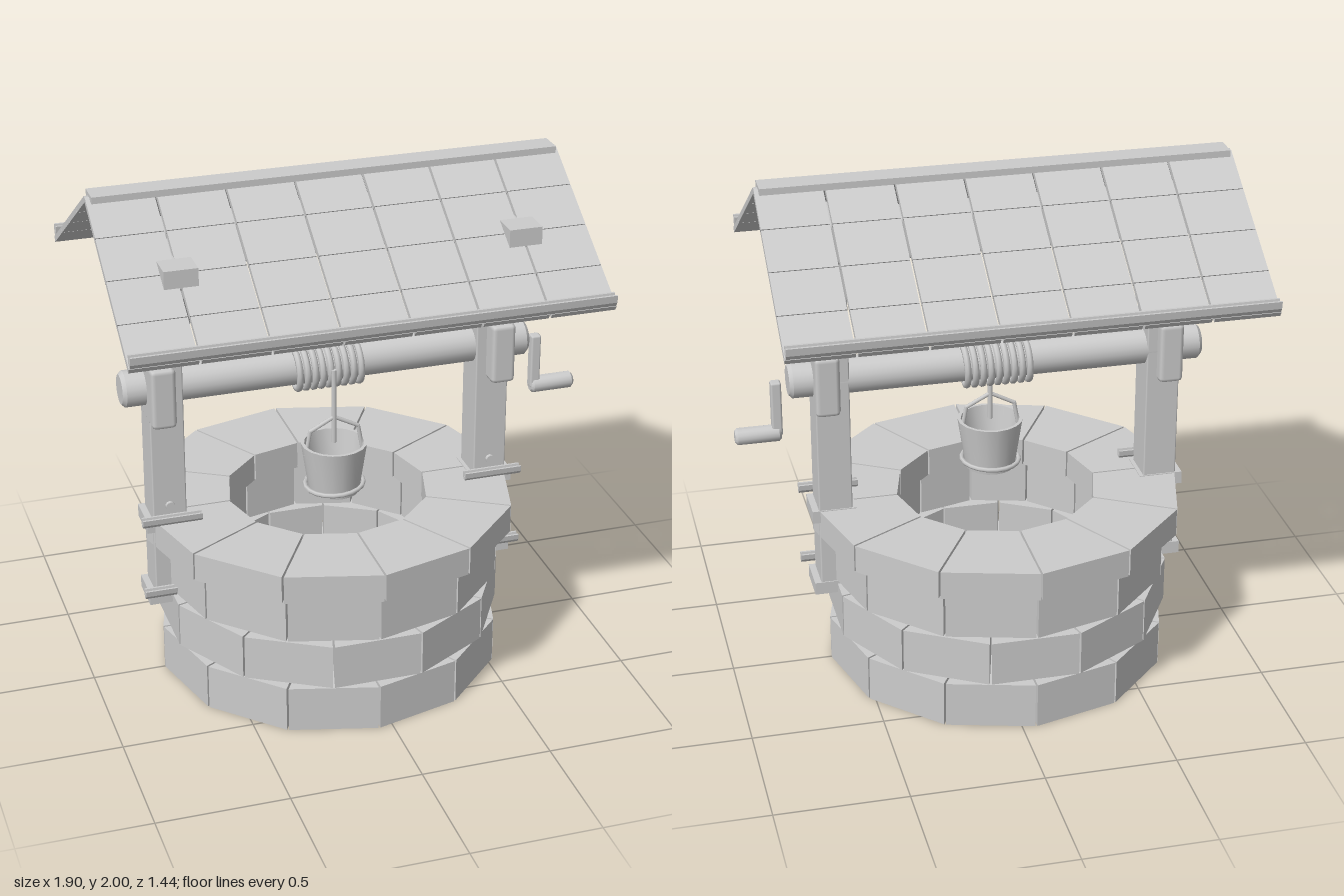
import * as THREE from 'three';
import { RoundedBoxGeometry } from 'three/addons/geometries/RoundedBoxGeometry.js';
import { toCreasedNormals } from 'three/addons/utils/BufferGeometryUtils.js';

export function createModel() {
  const grey = new THREE.MeshStandardMaterial({ color: 0xcccccc });
  grey.name = 'plain grey';
  const greyOpen = grey;
  const model = new THREE.Group();
  model.name = 'wishingWell';
  const well = new THREE.Group();
  well.name = 'well';
  well.position.x = -0.053;
  model.add(well);

  const add = (name, geometry, x = 0, y = 0, z = 0, parent = well) => {
    const mesh = new THREE.Mesh(geometry, grey);
    mesh.name = name;
    mesh.position.set(x, y, z);
    parent.add(mesh);
    return mesh;
  };
  const box = (w, h, d) => new THREE.BoxGeometry(w, h, d);
  const soft = (w, h, d, r = 0.012) => new RoundedBoxGeometry(w, h, d, 1, r);
  const shapeOf = pts => new THREE.Shape(pts.map(p => new THREE.Vector2(p[0], p[1])));
  // Extrude a (z, y) outline along x, centred on x = 0
  const alongX = (pts, length) => {
    const g = new THREE.ExtrudeGeometry(shapeOf(pts), { depth: length, bevelEnabled: false });
    g.translate(0, 0, -length / 2);
    return g.rotateY(-Math.PI / 2);
  };
  // Solid of revolution about x with rounded ends
  const roundBar = (r, length, bevel, sides) => {
    const h = length / 2;
    const pts = [[0, -h], [r - bevel, -h], [r, -h + bevel], [r, h - bevel], [r - bevel, h], [0, h]];
    const g = new THREE.LatheGeometry(pts.map(p => new THREE.Vector2(p[0], p[1])), sides);
    return toCreasedNormals(g, 0.6).rotateZ(-Math.PI / 2);
  };

  // Stone courses: twelve wedge blocks each, the second one staggered
  const courses = [
    { y0: 0, y1: 0.18, outer: 0.665, inner: 0.44, turn: 0.5 },
    { y0: 0.195, y1: 0.37, outer: 0.665, inner: 0.44, turn: 0 },
    { y0: 0.387, y1: 0.562, outer: 0.665, inner: 0.44, turn: 0.5 },
    { y0: 0.58, y1: 0.69, outer: 0.72, inner: 0.39, turn: 0.5 },
  ];
  const c = Math.cos(Math.PI / 12), s = Math.sin(Math.PI / 12), gap = 0.004;
  courses.forEach(({ y0, y1, outer, inner, turn }, row) => {
    const course = new THREE.Group();
    course.name = 'stoneCourse' + (row + 1);
    well.add(course);
    const stone = new THREE.ExtrudeGeometry(shapeOf([
      [inner * c, -inner * s + gap], [outer * c, -outer * s + gap],
      [outer * c, outer * s - gap], [inner * c, inner * s - gap],
    ]), { depth: y1 - y0, bevelEnabled: false }).rotateX(-Math.PI / 2);
    for (let i = 0; i < 12; i++) {
      add('stone', stone, 0, y0, 0, course).rotation.y = (i + turn) * Math.PI / 6;
    }
  });
  add('wellFloor', new THREE.CylinderGeometry(0.445, 0.445, 0.008, 24), 0, 0.1, 0);

  // Grooved rail profile shared by the roof edges and the post straps
  const rail = (w, h) => [
    [-w, h], [-w * 0.8, -h * 0.3], [-w * 0.35, -h], [w * 0.35, -h], [w * 0.8, -h * 0.3],
    [w, h], [w * 0.5, h], [w * 0.3, -h * 0.1], [-w * 0.3, -h * 0.1], [-w * 0.5, h],
  ];

  // Posts with braces, collars, straps and bearing blocks, mirrored left and right
  const brace = alongX([[0.06, 1.36], [0.105, 1.36], [0.19, 1.48], [0.25, 1.6], [0.31, 1.69],
    [0.31, 1.72], [0.372, 1.755], [0.372, 1.825], [0.06, 1.825]], 0.125);
  for (const side of [-1, 1]) {
    const post = new THREE.Group();
    post.name = side > 0 ? 'leftPost' : 'rightPost';
    well.add(post);
    const x = side * 0.64;
    add('postBeam', soft(0.13, 1.47, 0.145, 0.006), x, 1.065, 0.003, post);
    add('brace', brace, x, 0, 0, post);
    add('bearingBlock', soft(0.095, 0.24, 0.255, 0.018), side * 0.662, 1.22, 0.017, post);
    for (const y of [0.357, 0.668]) {
      add('collar', box(0.17, 0.05, 0.152), side * 0.645, y, 0.002, post);
    }
    for (const y of [0.4, 0.705, 1.76]) {
      add('strap', alongX(rail(0.017, 0.017), y > 1 ? 0.15 : 0.23), x, y, 0.108, post);
    }
    const bolt = new THREE.CylinderGeometry(0.018, 0.018, 0.02, 10).rotateX(Math.PI / 2);
    add('bolt', bolt, x, 0.75, 0.08, post);
  }
  add('topBeam', soft(1.62, 0.17, 0.155, 0.022), 0, 1.775, -0.002);

  // Windlass log with rope coil
  add('windlass', roundBar(0.07, 1.595, 0.014, 20), 0, 1.22, 0);
  const coilPts = [];
  const turns = 9;
  for (let i = 0; i <= turns * 16; i++) {
    const a = i / 16 * Math.PI * 2;
    coilPts.push(new THREE.Vector3(-0.135 + 0.27 * i / (turns * 16), 0.086 * Math.cos(a), 0.086 * Math.sin(a)));
  }
  add('ropeCoil', new THREE.TubeGeometry(new THREE.CatmullRomCurve3(coilPts), turns * 20, 0.013, 7), 0, 1.22, 0);
  add('rope', new THREE.CylinderGeometry(0.01, 0.01, 0.3, 8), 0, 1.08, 0.095);

  // Bucket with hoop, rim and bent handle
  const bucket = new THREE.Group();
  bucket.name = 'bucket';
  bucket.position.set(0, 0.73, 0.095);
  well.add(bucket);
  const profile = [[0, 0], [0.097, 0], [0.127, 0.2], [0.114, 0.2], [0.088, 0.02], [0, 0.02]]
    .map(p => new THREE.Vector2(p[0], p[1]));
  add('bucketBody', toCreasedNormals(new THREE.LatheGeometry(profile, 18), 0.6), 0, 0, 0, bucket);
  const hoop = add('bucketHoop', new THREE.TorusGeometry(0.112, 0.009, 6, 20).rotateX(Math.PI / 2), 0, 0.027, 0, bucket);
  hoop.rotation.z = 0.04;
  const bar = (name, a, b, r) => {
    const A = new THREE.Vector3(...a), B = new THREE.Vector3(...b);
    const m = add(name, new THREE.CylinderGeometry(r, r, A.distanceTo(B) + r, 8), 0, 0, 0, bucket);
    m.position.copy(A).lerp(B, 0.5);
    m.quaternion.setFromUnitVectors(new THREE.Vector3(0, 1, 0), B.sub(A).normalize());
  };
  for (const side of [-1, 1]) {
    bar('handleSide', [side * 0.112, 0.16, 0], [side * 0.095, 0.255, 0], 0.008);
    bar('handleTop', [side * 0.095, 0.255, 0], [0, 0.305, 0], 0.008);
  }
  bar('handleDrop', [0, 0.31, 0], [0, 0.2, 0], 0.007);

  // Crank beside the log
  const crank = new THREE.Group();
  crank.name = 'crank';
  model.add(crank);
  add('crankArm', soft(0.04, 0.22, 0.042, 0.008), 0.79, 1.11, 0, crank);
  add('crankHandle', roundBar(0.033, 0.175, 0.01, 14), 0.862, 1.008, 0, crank);

  // Roof: two slopes of boards, seven columns by four rows
  const half = new THREE.Vector2(0.625, 0.395);
  const slopeLength = half.length(), pitch = Math.atan2(half.y, half.x);
  const colW = 1.795 / 7, rowL = slopeLength / 4;
  const board = box(colW - 0.009, 0.022, rowL - 0.003);
  for (const side of [-1, 1]) {
    const slope = new THREE.Group();
    slope.name = side > 0 ? 'frontRoof' : 'backRoof';
    slope.position.set(0, 1.98, 0);
    slope.rotation.x = side * pitch;
    well.add(slope);
    for (let col = 0; col < 7; col++) {
      for (let row = 0; row < 4; row++) {
        add('roofBoard', board, (col - 3) * colW, 0, side * (row + 0.5) * rowL, slope);
      }
    }
    add('roofEdgeRail', alongX(rail(0.019, 0.022), 1.78), 0, 1.62, side * 0.625);
  }
  add('ridgeCap', box(1.755, 0.025, 0.095), 0, 1.9875, 0);

  return model;
}
